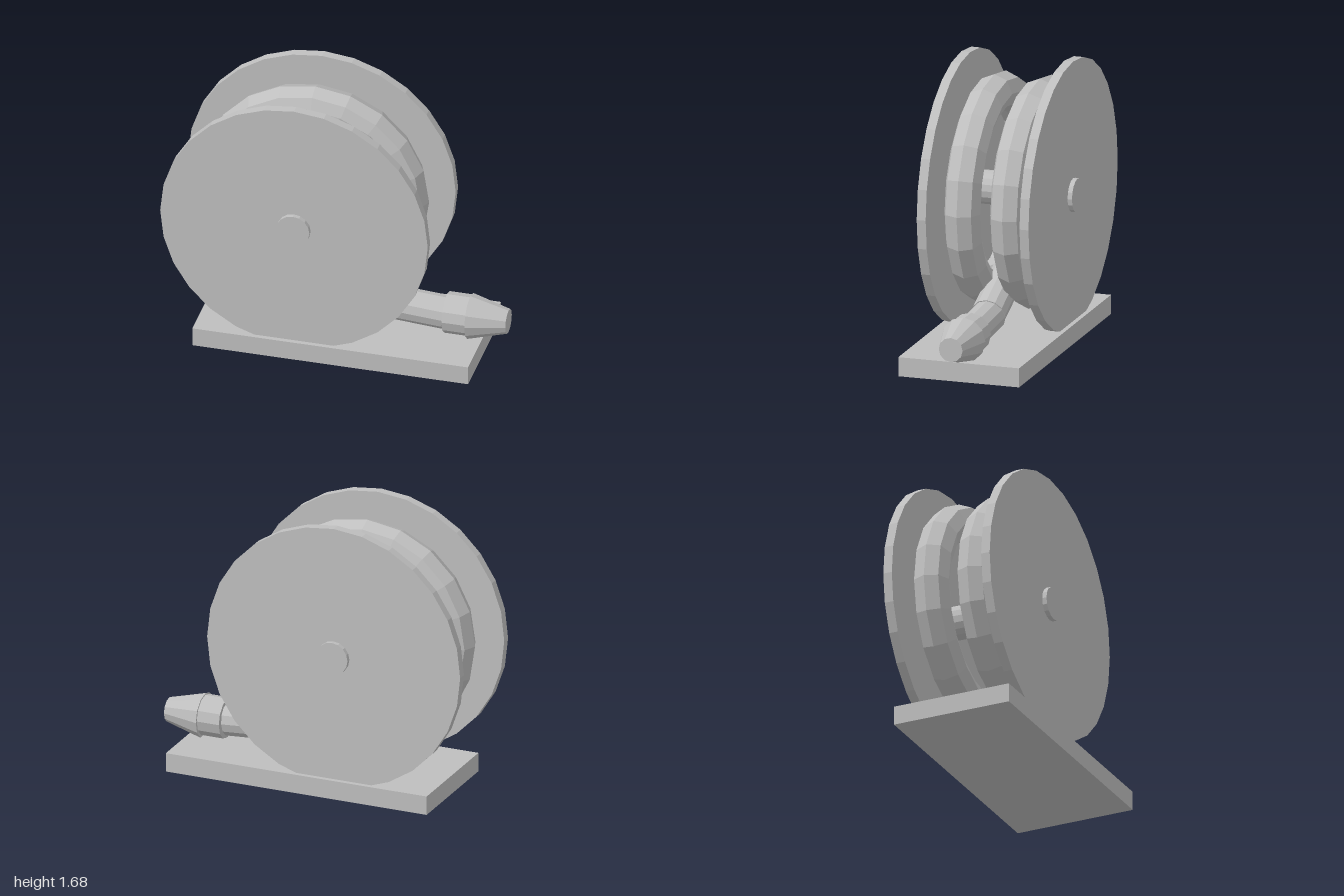
import * as THREE from 'three';

export function createModel() {
  const model = new THREE.Group();
  model.name = 'hoseReel';
  const grey = new THREE.MeshStandardMaterial({ color: 0xbebebe, flatShading: true });
  grey.name = 'grey';

  const hubX = -0.197, hubY = 0.877;

  function add(name, geometry, x, y, z) {
    const mesh = new THREE.Mesh(geometry, grey);
    mesh.name = name;
    mesh.position.set(x, y, z);
    model.add(mesh);
    return mesh;
  }

  // cylinder or cone running between two points in the plane z = 0
  function rod(name, x1, y1, x2, y2, r1, r2, sides = 12) {
    const dir = new THREE.Vector3(x2 - x1, y2 - y1, 0);
    const geometry = new THREE.CylinderGeometry(r2, r1, dir.length(), sides);
    const mesh = add(name, geometry, (x1 + x2) / 2, (y1 + y2) / 2, 0);
    mesh.quaternion.setFromUnitVectors(new THREE.Vector3(0, 1, 0), dir.normalize());
  }

  // disc or shaft lying along z through the hub
  function hubCylinder(name, radius, length, sides, z) {
    const geometry = new THREE.CylinderGeometry(radius, radius, length, sides).rotateX(Math.PI / 2);
    add(name, geometry, hubX, hubY, z);
  }

  // base plate
  add('base', new THREE.BoxGeometry(1.655, 0.115, 0.74), 0.028, 0.0575, 0);

  // axle through the reel
  hubCylinder('axle', 0.1, 0.74, 16, 0);

  // side discs and the two hose coils
  for (const [side, s] of [['front', 1], ['back', -1]]) {
    hubCylinder(side + 'Disc', 0.803, 0.055, 28, s * 0.315);
    add(side + 'Coil', new THREE.TorusGeometry(0.573, 0.11, 8, 20), hubX, hubY, s * 0.14);
  }

  // loose end of the hose
  rod('hoseUpper', -0.04, 0.415, 0.315, 0.265, 0.1, 0.1);
  rod('hoseLower', 0.3, 0.255, 0.625, 0.233, 0.1, 0.1);

  // nozzle
  rod('nozzleCollar', 0.63, 0.235, 0.77, 0.235, 0.122, 0.122);
  rod('nozzleTip', 0.77, 0.23, 1.0, 0.23, 0.135, 0.073);

  return model;
}
